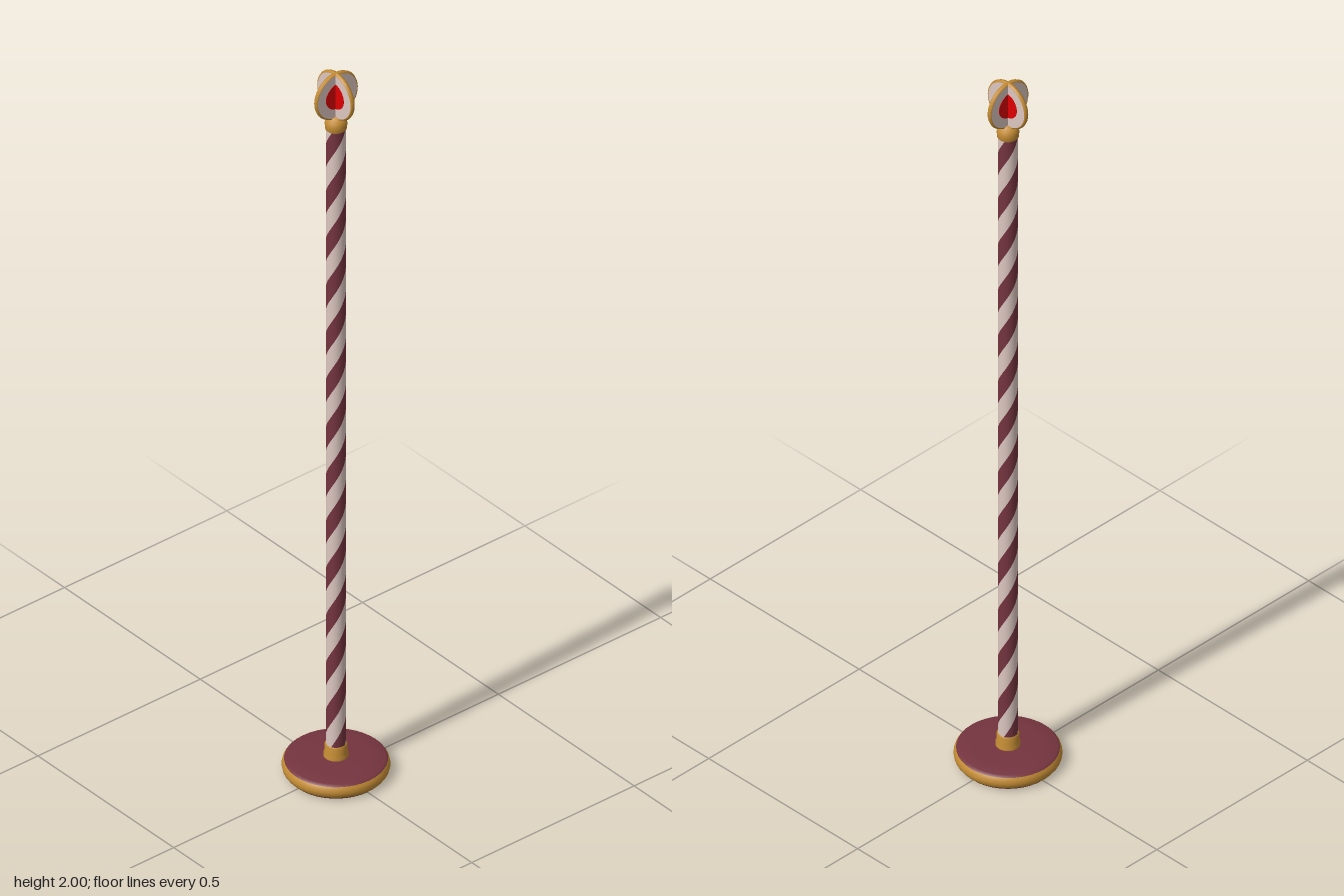
import * as THREE from 'three';
import { ParametricGeometry } from 'three/addons/geometries/ParametricGeometry.js';

const mat = (name, color) => Object.assign(new THREE.MeshStandardMaterial({ color }), { name });

export function createModel() {
  const maroon = mat('maroon', 0x74343f);
  const cream = mat('cream', 0xdcc6c0);
  const gold = mat('gold', 0xc48c34);
  const red = mat('red', 0xdc0000);

  const model = new THREE.Group();
  model.name = 'stripedPole';

  const add = (parent, name, geometry, material) => {
    const mesh = new THREE.Mesh(geometry, material);
    mesh.name = name;
    parent.add(mesh);
    return mesh;
  };
  const lathe = (points, segments = 32) =>
    new THREE.LatheGeometry(points.map(([r, y]) => new THREE.Vector2(r, y)), segments);

  // Round foot: maroon underside and domed top, with a bulging gold rim between
  add(model, 'baseUnderside', lathe([[0, 0], [0.116, 0], [0.122, 0.006]], 40), maroon);
  add(model, 'baseRim', lathe([[0.122, 0.006], [0.127, 0.013], [0.129, 0.022], [0.127, 0.031], [0.123, 0.037]], 40), gold);
  add(model, 'baseTop', lathe([[0.123, 0.037], [0.117, 0.042], [0.085, 0.045], [0, 0.048]], 40), maroon);

  // Shaft: two maroon and two cream bands twisting up the pole
  const radius = 0.024, bottom = 0.07, top = 1.86, pitch = 0.27;
  for (let i = 0; i < 4; i++) {
    const start = i * Math.PI / 2 - Math.PI / 4;
    const band = new ParametricGeometry((u, v, target) => {
      const y = bottom + (top - bottom) * v;
      const angle = start + u * Math.PI / 2 + (y - 0.1) / pitch * Math.PI * 2;
      target.set(radius * Math.sin(angle), y, radius * Math.cos(angle));
    }, 6, 160);
    add(model, 'shaftStripe' + (i + 1), band, i % 2 ? cream : maroon);
  }

  // Gold collars at both ends of the shaft
  add(model, 'lowerCollar', lathe([[0.030, 0.044], [0.030, 0.054], [0.027, 0.062], [0.027, 0.080], [0.023, 0.083]]), gold);
  add(model, 'upperCollar', lathe([[0.022, 1.838], [0.026, 1.842], [0.027, 1.856], [0.025, 1.866], [0.018, 1.876], [0, 1.880]]), gold);

  // Finial: two crossed upright roundels, each gold-edged with a red centre
  const finial = new THREE.Group();
  finial.name = 'finial';
  finial.position.y = 1.935;
  model.add(finial);
  for (let i = 0; i < 2; i++) {
    const roundel = new THREE.Group();
    roundel.name = 'roundel' + (i + 1);
    roundel.rotation.y = i * Math.PI / 2;
    finial.add(roundel);
    const parts = [
      ['roundelRim', lathe([[0.060, -0.0055], [0.063, -0.005], [0.065, 0], [0.063, 0.005], [0.060, 0.0055]], 40), gold],
      ['roundelDisc', new THREE.CylinderGeometry(0.0605, 0.0605, 0.010, 40), cream],
      ['roundelCentre', new THREE.CylinderGeometry(0.035, 0.035, 0.0116, 32), red],
    ];
    for (const [name, geometry, material] of parts) {
      add(roundel, name, geometry, material).rotation.x = Math.PI / 2;
    }
  }

  return model;
}
